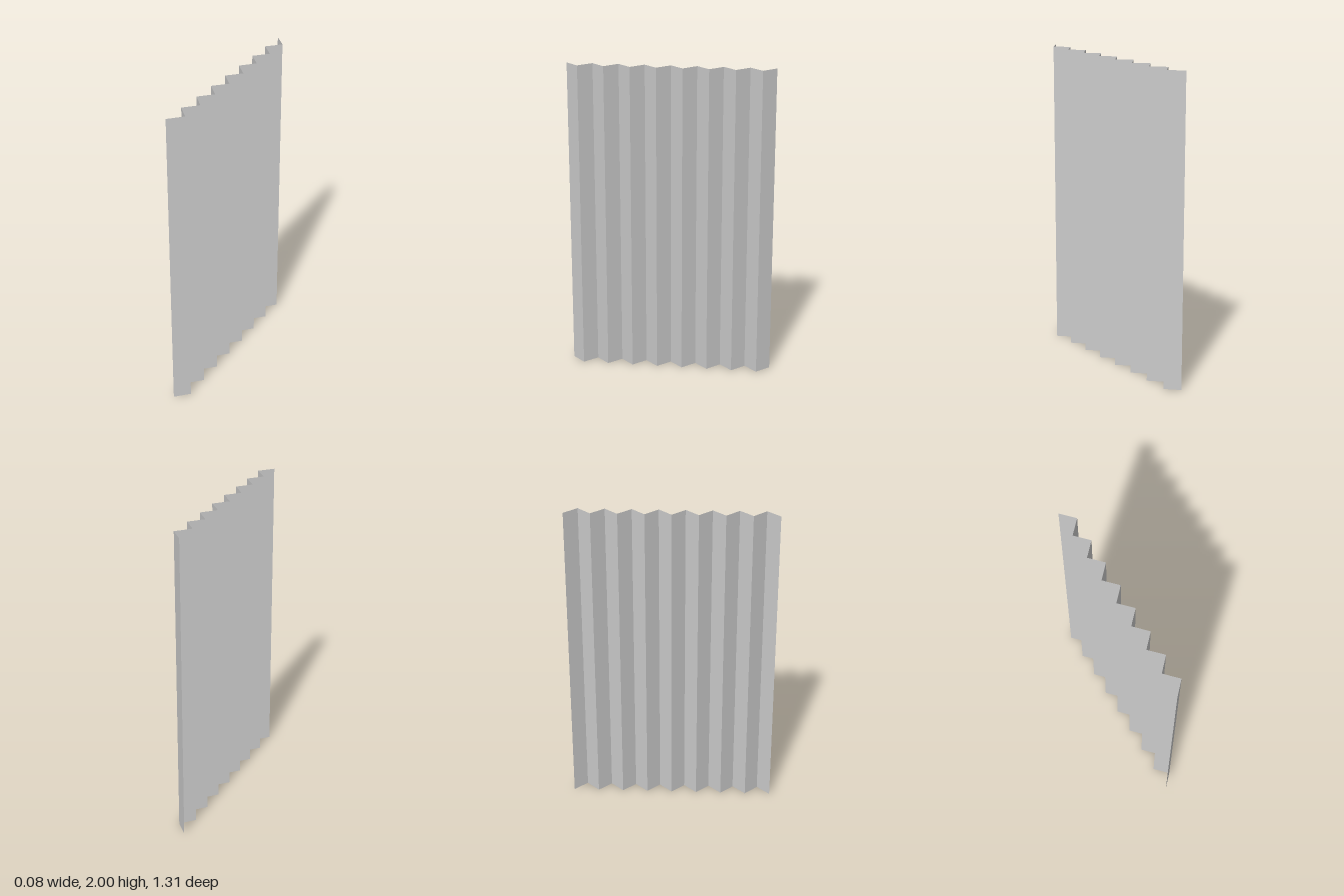
import * as THREE from 'three';

// Folding screen: a thin sheet pleated into equal upright panels
const PANELS = 16;
const HEIGHT = 2;
const HALF_LENGTH = 0.653;
const HALF_DEPTH = 0.039;

export function createModel() {
  const group = new THREE.Group();
  group.name = 'foldingScreen';
  const material = new THREE.MeshStandardMaterial({
    color: 0xcccccc,
    flatShading: true,
    side: THREE.DoubleSide,
  });

  // Fold lines alternate between the two sides
  const foldX = (i) => (i % 2 ? HALF_DEPTH : -HALF_DEPTH);
  const foldZ = (i) => HALF_LENGTH * (1 - (2 * i) / PANELS);

  for (let i = 0; i < PANELS; i++) {
    const dx = foldX(i + 1) - foldX(i);
    const dz = foldZ(i + 1) - foldZ(i);
    const panel = new THREE.Mesh(new THREE.PlaneGeometry(Math.hypot(dx, dz), HEIGHT), material);
    panel.name = `panel${i + 1}`;
    panel.position.set(0, HEIGHT / 2, (foldZ(i) + foldZ(i + 1)) / 2);
    panel.rotation.y = Math.atan2(-dz, dx);
    group.add(panel);
  }
  return group;
}
